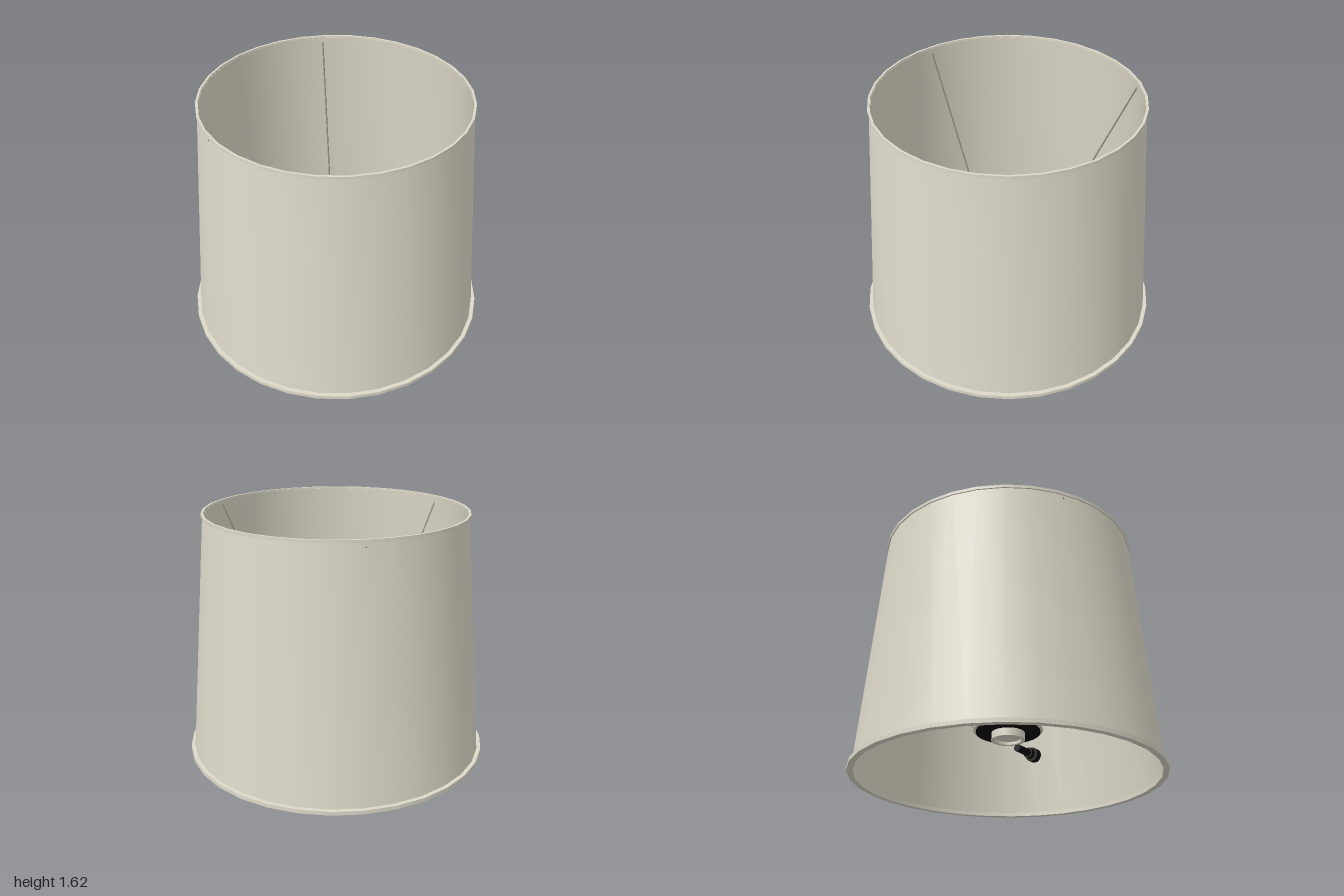
import * as THREE from 'three';
import { toCreasedNormals } from 'three/addons/utils/BufferGeometryUtils.js';

const mat = (name, color) => {
  const m = new THREE.MeshStandardMaterial({ color });
  m.name = name;
  return m;
};

export function createModel() {
  const group = new THREE.Group();
  group.name = 'lampShade';
  const linen = mat('linen', 0xddd9c9);
  const metal = mat('metal', 0x85837a);
  const black = mat('black', 0x0c0c0c);

  const add = (name, geometry, material, parent = group) => {
    const mesh = new THREE.Mesh(geometry, material);
    mesh.name = name;
    parent.add(mesh);
    return mesh;
  };
  // Outline listed outer side upward, inner side downward, then closed
  const lathe = (name, points, material) => {
    const outline = [...points, points[0]].map(([r, y]) => new THREE.Vector2(r, y));
    return add(name, toCreasedNormals(new THREE.LatheGeometry(outline, 32), 0.5), material);
  };
  const ring = (name, inner, outer, y0, y1, material) =>
    lathe(name, [[inner, y0], [outer, y0], [outer, y1], [inner, y1]], material);

  // Tapered fabric wall and its two rims
  lathe('shadeWall', [[0.975, 0.01], [0.843, 1.605], [0.836, 1.605], [0.965, 0.01]], linen);
  ring('bottomRim', 0.962, 1.0, 0, 0.025, linen);
  ring('topRim', 0.838, 0.852, 1.595, 1.615, linen);

  // Three sloping wires from the top rim down to the fitter ring
  const up = new THREE.Vector3(0, 1, 0);
  for (const [x, z] of [[0.842, 0], [-0.488, -0.688], [-0.425, 0.728]]) {
    const top = new THREE.Vector3(x, 1.575, z);
    const bottom = new THREE.Vector3(x, 0, z).setLength(0.215).setY(0.325);
    const dir = top.clone().sub(bottom);
    const wire = add('spoke', new THREE.CylinderGeometry(0.005, 0.005, dir.length(), 8), metal);
    wire.position.copy(top).add(bottom).multiplyScalar(0.5);
    wire.quaternion.setFromUnitVectors(up, dir.normalize());
  }

  // Socket: fitter ring, black body with a shoulder, pale inner tube
  ring('fitterRing', 0.19, 0.225, 0.315, 0.33, linen);
  lathe('socketBody', [
    [0.105, 0.3], [0.207, 0.3], [0.207, 0.35], [0.155, 0.36], [0.125, 0.41],
    [0.145, 0.44], [0.145, 0.6], [0.105, 0.6],
  ], black);
  ring('socketTube', 0.085, 0.108, 0.25, 0.59, linen);
  const cap = add('socketContact', new THREE.CylinderGeometry(0.086, 0.086, 0.3, 32), linen);
  cap.position.y = 0.42;

  // Side switch: stem, flared collar and grip
  const knob = new THREE.Group();
  knob.name = 'switchKnob';
  knob.position.y = 0.23;
  group.add(knob);
  for (const [x0, x1, r] of [[0.1, 0.27, 0.024], [0.225, 0.255, 0.035], [0.265, 0.31, 0.047]]) {
    const part = add('switchPart', new THREE.CylinderGeometry(r, r, x1 - x0, 16), black, knob);
    part.rotation.z = -Math.PI / 2;
    part.position.x = (x0 + x1) / 2;
  }
  return group;
}
